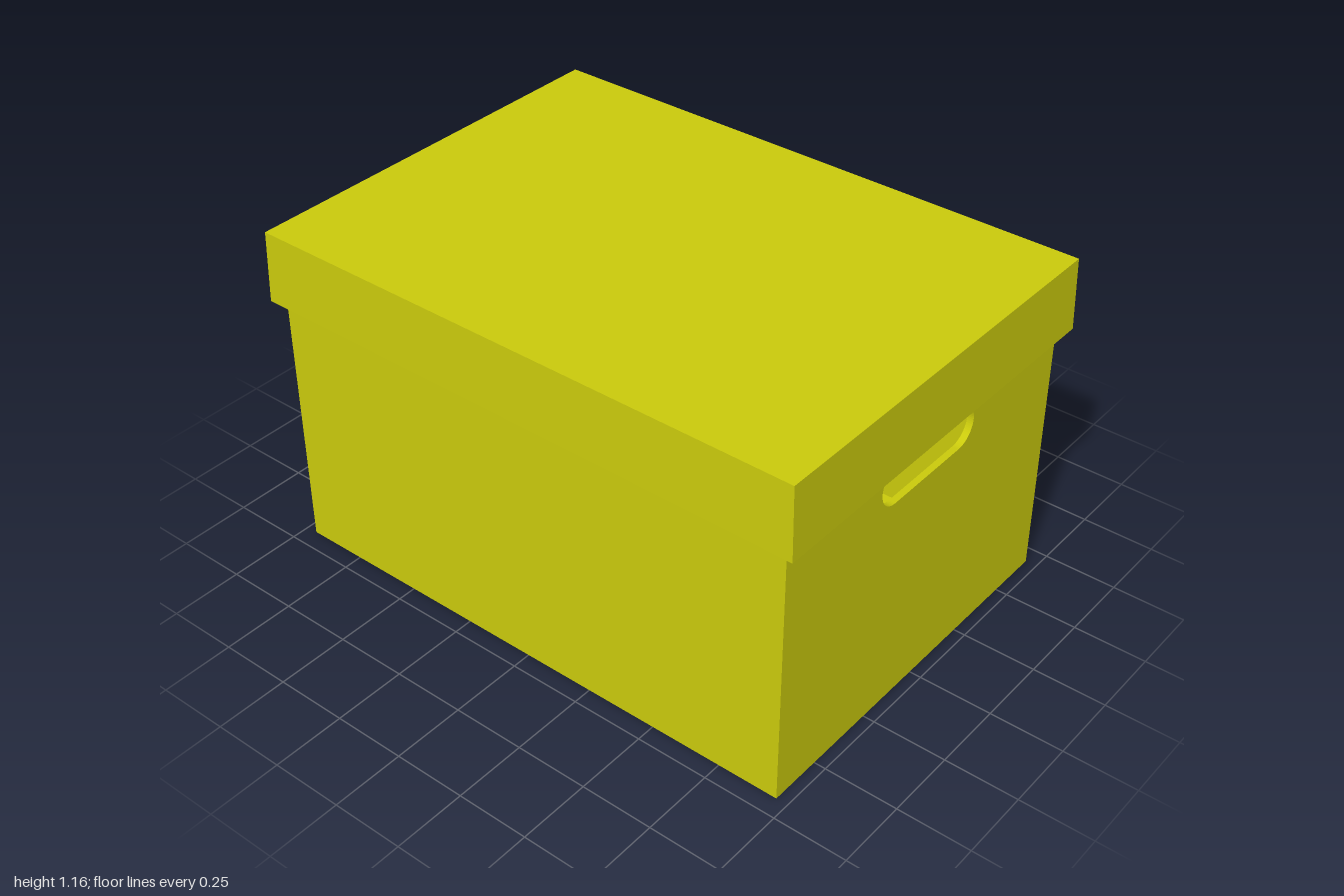
import * as THREE from 'three';

// Closed solid lofted through rectangular rings [halfX, y, halfZ]
function loftRects(rings) {
  const corners = rings.map(([x, y, z]) => [[x, y, z], [x, y, -z], [-x, y, -z], [-x, y, z]]);
  const pos = [];
  const quad = (a, b, c, d) => pos.push(...a, ...b, ...c, ...a, ...c, ...d);
  for (let r = 0; r < corners.length - 1; r++) {
    const lo = corners[r], hi = corners[r + 1];
    for (let i = 0; i < 4; i++) {
      const j = (i + 1) % 4;
      quad(lo[i], lo[j], hi[j], hi[i]);
    }
  }
  const [a, b, c, d] = corners[0];
  quad(d, c, b, a);
  quad(...corners[corners.length - 1]);
  const geo = new THREE.BufferGeometry();
  geo.setAttribute('position', new THREE.Float32BufferAttribute(pos, 3));
  geo.computeVertexNormals();
  return geo;
}

export function createModel() {
  const model = new THREE.Group();
  model.name = 'storageBox';
  const card = new THREE.MeshStandardMaterial({ color: 0xcaca0c });
  card.name = 'yellow card';

  const HX = 0.96, HZ = 0.685, H = 1.13, T = 0.022;
  const add = (name, geo, x = 0, y = 0, z = 0) => {
    const mesh = new THREE.Mesh(geo, card);
    mesh.name = name;
    mesh.position.set(x, y, z);
    model.add(mesh);
    return mesh;
  };

  // Base and long walls, fitted between the end panels
  const inner = 2 * (HX - T);
  add('base', new THREE.BoxGeometry(inner, T, 2 * (HZ - T)), 0, T / 2, 0);
  for (const [name, s] of [['frontWall', 1], ['backWall', -1]]) {
    add(name, new THREE.BoxGeometry(inner, H, T), 0, H / 2, s * (HZ - T / 2));
  }

  // End panels with a rounded hand slot
  const panel = new THREE.Shape();
  panel.moveTo(-HZ, 0).lineTo(HZ, 0).lineTo(HZ, H).lineTo(-HZ, H).closePath();
  const R = 0.071, slotY = 0.83, slotX = 0.235 - R;
  const slot = new THREE.Path();
  slot.absarc(slotX, slotY, R, -Math.PI / 2, Math.PI / 2, false);
  slot.absarc(-slotX, slotY, R, Math.PI / 2, Math.PI * 1.5, false);
  slot.closePath();
  panel.holes.push(slot);
  const panelGeo = new THREE.ExtrudeGeometry(panel, { depth: T, bevelEnabled: false, curveSegments: 16 });
  panelGeo.rotateY(Math.PI / 2);
  add('leftEndPanel', panelGeo, HX - T);
  add('rightEndPanel', panelGeo, -HX);

  // Hollow lid, flaring slightly towards its open rim
  add('lid', loftRects([
    [0.968, 1.138, 0.688],
    [0.978, 0.915, 0.693],
    [1.0, 0.915, 0.715],
    [0.992, 1.162, 0.71],
  ]));

  return model;
}
